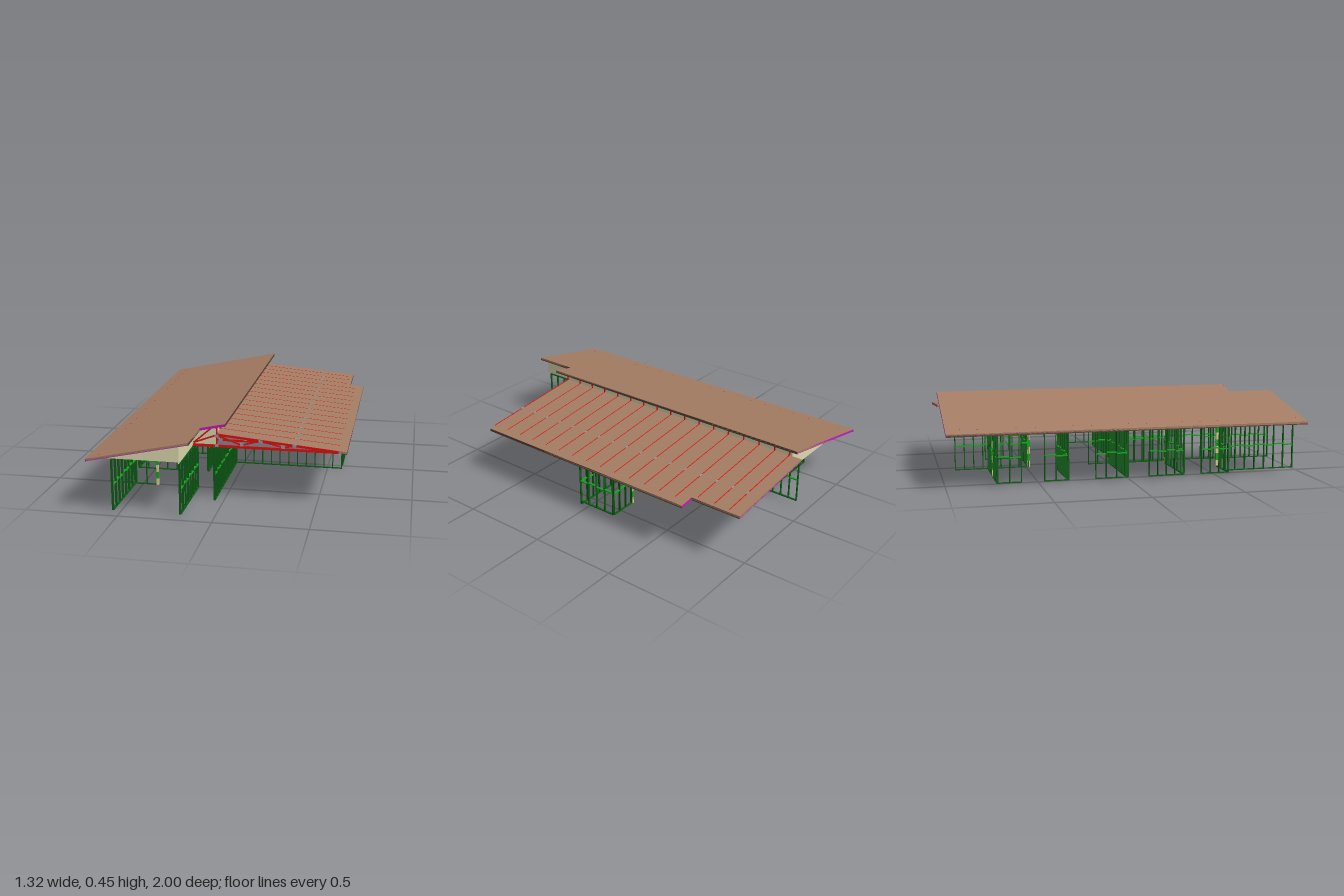
import * as THREE from 'three';

const mat = (color, side = THREE.FrontSide) => new THREE.MeshStandardMaterial({ color, side });
const M = {
  roof: mat(0xa57d64), fascia: mat(0x5c4338), barge: mat(0xc814c8), cream: mat(0xdedbb0, THREE.DoubleSide),
  ceiling: mat(0x6a6a6e, THREE.DoubleSide), red: mat(0xe01010), stud: mat(0x0d5c16), nog: mat(0x16a61c),
  post: mat(0xd8cf8c), plate: mat(0x9a9aa0), lintel: mat(0xa9d3de),
};

// Roof heights (top surface) at x
const highY = x => 0.305 + (x + 0.66) * 0.2132;
const lowY = x => 0.38 - (x + 0.035) * 0.0942;

function box(parent, name, m, x0, x1, y0, y1, z0, z1) {
  const b = new THREE.Mesh(new THREE.BoxGeometry(x1 - x0, y1 - y0, z1 - z0), m);
  b.position.set((x0 + x1) / 2, (y0 + y1) / 2, (z0 + z1) / 2);
  b.name = name;
  parent.add(b);
  return b;
}

// Polygon in the x-y plane pushed along z
function prism(parent, name, m, pts, z0, z1) {
  const shape = new THREE.Shape(pts.map(p => new THREE.Vector2(p[0], p[1])));
  const g = new THREE.ExtrudeGeometry(shape, { depth: z1 - z0, bevelEnabled: false });
  const mesh = new THREE.Mesh(g, m);
  mesh.position.z = z0;
  mesh.name = name;
  parent.add(mesh);
  return mesh;
}

// Sloping strip between x0 and x1, hanging t below the height function
const strip = (parent, name, m, f, x0, x1, z0, z1, t = 0.011, lift = 0) =>
  prism(parent, name, m, [[x0, f(x0) - t + lift], [x1, f(x1) - t + lift], [x1, f(x1) + lift], [x0, f(x0) + lift]], z0, z1);

// Straight truss member between two points in the x-y plane
function bar(parent, a, b, z, w = 0.008) {
  const len = Math.hypot(b[0] - a[0], b[1] - a[1]);
  const m = new THREE.Mesh(new THREE.BoxGeometry(len, w, 0.005), M.red);
  m.position.set((a[0] + b[0]) / 2, (a[1] + b[1]) / 2, z);
  m.rotation.z = Math.atan2(b[1] - a[1], b[0] - a[0]);
  m.name = 'trussMember';
  parent.add(m);
}

function truss(z, xMin, xMax) {
  const g = new THREE.Group();
  g.name = 'roofTruss';
  box(g, 'bottomChord', M.red, xMin, xMax, 0.305, 0.319, z - 0.0025, z + 0.0025);
  if (xMin < -0.2) {
    strip(g, 'highTopChord', M.red, highY, xMin, -0.035, z - 0.0025, z + 0.0025, 0.012, -0.011);
    bar(g, [-0.165, 0.32], [-0.3, 0.36], z);
    bar(g, [-0.3, 0.36], [-0.4, 0.32], z);
  }
  strip(g, 'lowTopChord', M.red, lowY, -0.035, xMax, z - 0.0025, z + 0.0025, 0.012, 0.0004);
  const webs = [
    [[-0.035, 0.31], [-0.035, 0.43]], [[-0.16, 0.325], [-0.04, 0.43]], [[-0.16, 0.325], [-0.035, 0.372]],
    [[-0.035, 0.372], [0.1, 0.323]], [[0.1, 0.323], [0.2, 0.352]], [[0.2, 0.352], [0.32, 0.323]], [[0.32, 0.323], [0.39, 0.335]],
  ];
  webs.forEach(([a, b]) => bar(g, a, b, z));
  // nail plates at the joints
  [[-0.035, 0.315], [-0.035, 0.368], [0.1, 0.325], [0.2, 0.349], [0.32, 0.325], [0.38, 0.335]].forEach(([x, y]) =>
    box(g, 'nailPlate', M.plate, x - 0.01, x + 0.01, y - 0.008, y + 0.008, z - 0.0032, z + 0.0032));
  return g;
}

// Stud wall from (xa, za) to (xb, zb), built along its own x axis
function frame(xa, za, xb, zb, base) {
  const g = new THREE.Group();
  g.name = 'wallFrame';
  const len = Math.hypot(xb - xa, zb - za), d = 0.006, top = 0.3, mid = base + (top - base) * 0.5;
  box(g, 'bottomPlate', M.stud, 0, len, base, base + 0.005, -d, d);
  box(g, 'topPlate', M.stud, 0, len, top - 0.006, top, -d, d);
  const n = Math.max(1, Math.round(len / 0.055));
  for (let i = 0; i <= n; i++) {
    const x = 0.0025 + (i / n) * (len - 0.005);
    box(g, 'stud', M.stud, x - 0.0025, x + 0.0025, base, top, -d, d);
    if (i < n) {
      const y = mid + (i % 2 ? 0.003 : -0.003);
      box(g, 'nogging', M.nog, x, x + len / n, y - 0.003, y + 0.003, -d, d);
    }
  }
  g.position.set(xa, 0, za);
  g.rotation.y = Math.atan2(-(zb - za), xb - xa);
  return g;
}

export function createModel() {
  const model = new THREE.Group();
  model.name = 'houseFrame';

  // Roof sheets
  strip(model, 'highRoof', M.roof, highY, -0.66, 0.02, -1, 0.74);
  strip(model, 'highRoofPorch', M.roof, highY, -0.66, -0.115, 0.74, 1);
  strip(model, 'lowRoof', M.roof, lowY, -0.035, 0.655, -0.705, 0.686);
  strip(model, 'lowRoofBack', M.roof, lowY, -0.035, 0.57, -1, -0.705);

  // Barge boards on the sloping ends
  const barge = (f, x0, x1, z) => strip(model, 'bargeBoard', M.barge, f, x0, x1, z - 0.002, z + 0.002, 0.013, -0.0005);
  barge(highY, -0.66, -0.115, 0.998);
  barge(highY, -0.115, 0.02, 0.739);
  barge(highY, -0.66, 0.02, -0.998);
  barge(lowY, -0.035, 0.57, -0.998);
  barge(lowY, 0.57, 0.655, -0.704);

  // Fascias along the level edges
  const fascia = (x, y, z0, z1) => box(model, 'fascia', M.fascia, x - 0.002, x + 0.002, y - 0.016, y - 0.001, z0, z1);
  fascia(-0.658, highY(-0.66), -1, 1);
  fascia(0.018, highY(0.02), -1, 0.74);
  fascia(-0.117, highY(-0.115), 0.74, 1);
  fascia(0.653, lowY(0.655), -0.705, 0.686);
  fascia(0.568, lowY(0.57), -1, -0.705);

  // Ceiling sheets
  const ceil = (x0, x1, z0, z1) => box(model, 'ceiling', M.ceiling, x0, x1, 0.3065, 0.3085, z0, z1);
  ceil(-0.6, 0.6, -0.7, 0.68);
  ceil(-0.6, 0.51, -0.94, -0.7);
  ceil(-0.6, -0.17, 0.68, 0.96);

  // Gable and clerestory cladding
  const u = 0.012;
  prism(model, 'frontGable', M.cream, [[-0.64, 0.302], [-0.17, 0.302], [-0.17, highY(-0.17) - u]], 0.957, 0.962);
  prism(model, 'backGable', M.cream, [[-0.64, 0.302], [0.56, 0.305], [0.56, lowY(0.56) - u],
    [-0.035, lowY(-0.035) - u], [-0.035, highY(-0.035) - u]], -0.943, -0.938);
  prism(model, 'innerGable', M.cream, [[-0.17, 0.305], [-0.04, 0.305], [-0.04, highY(-0.04) - u], [-0.17, highY(-0.17) - u]], 0.676, 0.68);
  box(model, 'porchSideCladding', M.cream, -0.172, -0.168, 0.303, 0.398, 0.685, 0.99);
  box(model, 'clerestoryWall', M.cream, -0.045, -0.04, 0.37, 0.427, -0.94, 0.68);

  // Trusses
  for (let i = 0; i <= 15; i++) {
    const z = 0.69 - i * 0.1015;
    model.add(truss(z, i ? -0.6 : -0.165, z < -0.7 ? 0.55 : 0.61));
  }
  model.add(truss(-0.925, -0.6, 0.55));
  box(model, 'porchChord', M.red, -0.6, -0.175, 0.305, 0.319, 0.95, 0.955);

  // Patio lintel
  box(model, 'lintel', M.lintel, 0.495, 0.515, 0.285, 0.308, -0.95, -0.65);

  // Stud walls: xa, za, xb, zb, base
  const walls = [
    [-0.53, 0.97, -0.53, 0.56, 0.022], [-0.17, 0.97, -0.17, 0.56, 0.022], [-0.585, 0.56, -0.4, 0.56, 0.022],
    [-0.585, 0.56, -0.585, 0.4, 0.022], [-0.585, 0.3, -0.24, 0.3, 0.022], [-0.585, 0.3, -0.585, 0.1, 0.022],
    [-0.585, -0.02, -0.17, -0.02, 0.022], [-0.585, -0.02, -0.585, -0.2, 0.022], [-0.585, -0.35, -0.29, -0.35, 0.022],
    [-0.585, -0.35, -0.585, -0.48, 0.022], [-0.585, -0.6, -0.585, -0.73, 0.022], [-0.585, -0.73, -0.17, -0.73, 0.022],
    [-0.17, -0.92, -0.17, -0.5, 0.022], [-0.17, -0.15, -0.17, 0.3, 0.022], [-0.17, -0.5, 0.11, -0.5, 0.022],
    [0.11, -0.72, 0.11, -0.5, 0.022], [0.585, 0.05, 0.585, -0.19, 0.022], [0.425, -0.19, 0.585, -0.19, 0.022],
    [-0.05, 0.69, -0.05, 0.05, 0.002], [-0.05, 0.05, 0.585, 0.05, 0.002],
  ];
  walls.forEach(w => model.add(frame(...w)));

  // Posts beside the openings
  [[-0.4, 0.56], [-0.285, -0.35], [-0.235, 0.3], [0.42, -0.19], [-0.4, -0.73], [-0.17, -0.5]].forEach(([x, z]) => {
    box(model, 'post', M.post, x - 0.006, x + 0.006, 0.022, 0.3, z - 0.007, z + 0.007);
    [0.08, 0.16, 0.24].forEach(y => box(model, 'postBlock', M.nog, x - 0.007, x + 0.007, y - 0.02, y + 0.02, z - 0.008, z + 0.008));
  });

  return model;
}
